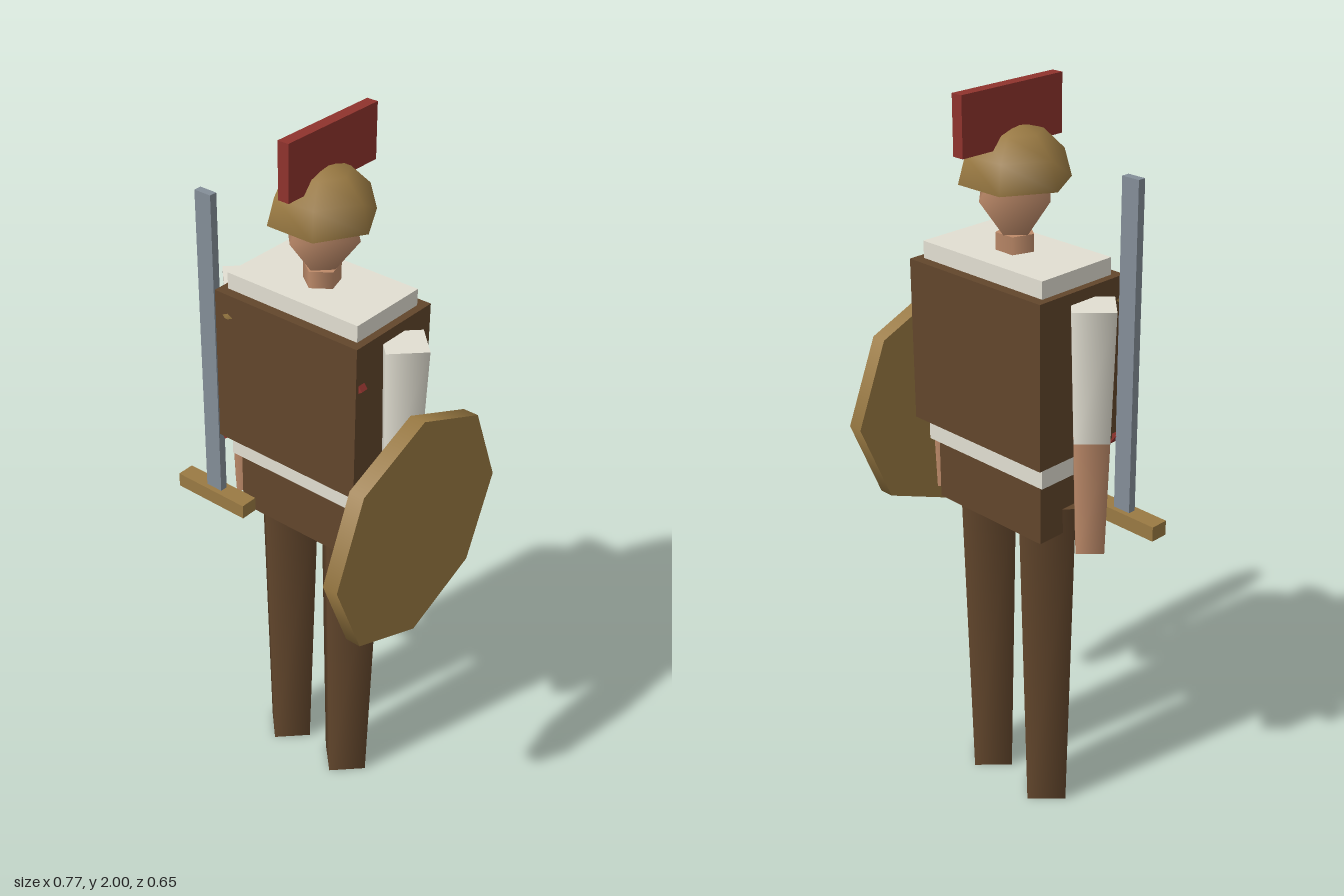
import * as THREE from 'three';

const mat = (name, color, side = THREE.FrontSide) => {
  const m = new THREE.MeshStandardMaterial({ color, side });
  m.name = name;
  return m;
};

export function createModel() {
  const leather = mat('brown leather', 0x62462c);
  const linen = mat('pale linen', 0xe2dfd2);
  const skin = mat('skin', 0xbd8a69);
  const bronze = mat('bronze', 0x9a7a43, THREE.DoubleSide);
  const steel = mat('steel', 0x848e98);
  const red = mat('red', 0x8f332d);

  const model = new THREE.Group();
  model.name = 'soldier';

  const add = (name, geometry, material, x, y, z) => {
    const mesh = new THREE.Mesh(geometry, material);
    mesh.name = name;
    mesh.position.set(x, y, z);
    model.add(mesh);
    return mesh;
  };
  // box given by its extents on each axis
  const box = (name, material, [x0, x1], [y0, y1], [z0, z1]) =>
    add(name, new THREE.BoxGeometry(x1 - x0, y1 - y0, z1 - z0), material,
      (x0 + x1) / 2, (y0 + y1) / 2, (z0 + z1) / 2);
  // upright tapered prism between two heights
  const taper = (name, material, x, z, y0, y1, r0, r1, sides = 4) =>
    add(name, new THREE.CylinderGeometry(r1, r0, y1 - y0, sides), material, x, (y0 + y1) / 2, z);

  const cx = -0.006, cz = -0.088;

  // torso layers
  box('breastplate', leather, [-0.233, 0.221], [1.11, 1.545], [-0.235, 0.057]);
  box('tunic', linen, [-0.213, 0.2], [1.045, 1.59], [-0.207, 0.03]);
  box('skirt', leather, [-0.193, 0.18], [0.875, 1.047], [-0.192, 0.016]);

  // limbs
  for (const [side, s] of [['left', 1], ['right', -1]]) {
    taper(side + 'Leg', leather, cx + s * 0.108, cz, 0, 0.945, 0.076, 0.103);
    taper(side + 'Sleeve', linen, cx + s * 0.26, cz, 1.168, 1.515, 0.063, 0.076);
    taper(side + 'Forearm', skin, cx + s * 0.26, cz, 0.855, 1.168, 0.051, 0.063);
  }

  // neck and head
  taper('neck', skin, cx, cz, 1.57, 1.635, 0.05, 0.05, 5);
  add('head', new THREE.SphereGeometry(1, 4, 2), skin, cx, 1.735, cz).scale.set(0.118, 0.155, 0.121);

  // open helmet with crest
  add('helmet', new THREE.SphereGeometry(0.141, 6, 3, 0, Math.PI * 2, 0, Math.PI / 2),
    bronze, cx, 1.762, cz);
  box('crest', red, [-0.022, 0.01], [1.853, 2], [-0.272, 0.055]);

  // sash, mostly sunk into the breastplate, and its brooch
  add('sash', new THREE.BoxGeometry(0.565, 0.03, 0.022), red, cx, 1.272, 0.036).rotation.z = 0.63;
  add('brooch', new THREE.SphereGeometry(1, 4, 2), bronze, -0.193, 1.483, 0.037)
    .scale.set(0.05, 0.025, 0.03);

  // sword
  box('swordBlade', steel, [-0.293, -0.241], [0.9, 1.797], [0.031, 0.053]);
  box('swordGuard', bronze, [-0.386, -0.148], [0.875, 0.916], [0.017, 0.068]);

  // octagonal shield on the left side
  add('shield', new THREE.CylinderGeometry(0.325, 0.325, 0.043, 8), bronze, 0.3635, 1.058, -0.002)
    .rotation.z = -Math.PI / 2;

  return model;
}
